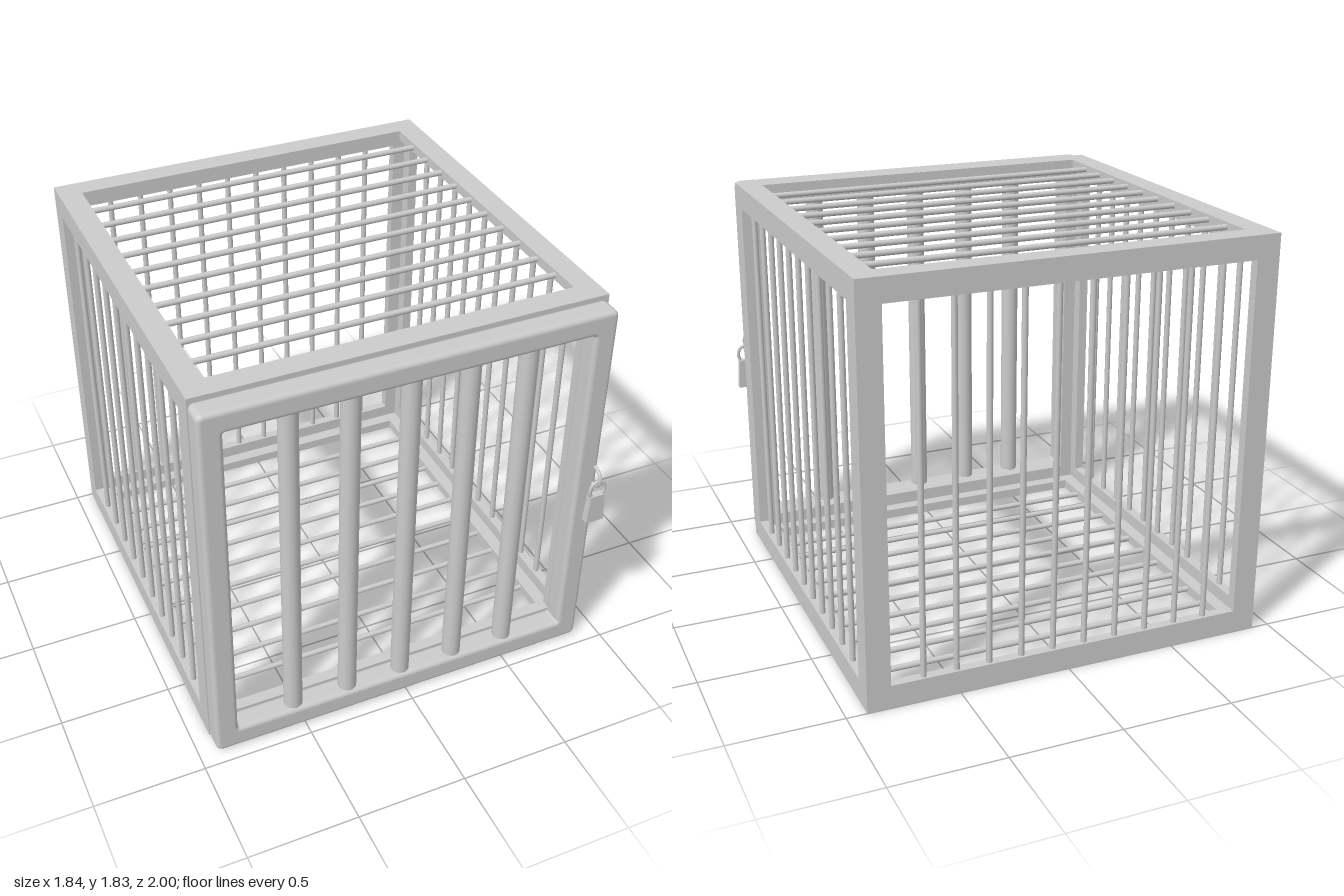
import * as THREE from 'three';

const mat = new THREE.MeshStandardMaterial({ color: 0xcccccc });

export function createModel() {
  const root = new THREE.Group();
  const add = (name, geo, x, y, z, parent = root) => {
    const mesh = new THREE.Mesh(geo, mat);
    mesh.name = name;
    mesh.position.set(x, y, z);
    parent.add(mesh);
    return mesh;
  };
  const points = (list) => list.map(([x, y]) => new THREE.Vector2(x, y));
  const rectangle = (w, h) => points([[-w, -h], [w, -h], [w, h], [-w, h]].map(([x, y]) => [x / 2, y / 2]));

  // Cage of six thin frames, so the edges have an angle-iron profile inside
  const size = 1.83, plate = 0.045, inner = 1.62;
  const off = (size - plate) / 2, short = size - 2 * plate;
  const cage = new THREE.Group();
  cage.name = 'cage';
  cage.position.set(-0.005, size / 2, -0.085);
  root.add(cage);

  const bar = new THREE.CylinderGeometry(0.013, 0.013, inner + 0.02, 12);
  const panel = (name, w, h, position, rotation, barCount = 10) => {
    const group = new THREE.Group();
    group.name = name + 'Panel';
    group.position.set(...position);
    group.rotation.set(...rotation);
    cage.add(group);
    const shape = new THREE.Shape(rectangle(w, h));
    shape.holes.push(new THREE.Path(rectangle(inner, inner)));
    const geo = new THREE.ExtrudeGeometry(shape, { depth: plate, bevelEnabled: false });
    add(name + 'Frame', geo, 0, 0, -plate / 2, group);
    for (let i = 0; i < barCount; i++) add(name + 'Bar', bar, (i - 4.5) * 0.147, 0, 0, group);
  };
  const q = Math.PI / 2;
  panel('front', size, size, [0, 0, off], [0, 0, 0], 0);
  panel('back', size, size, [0, 0, -off], [0, 0, 0]);
  panel('left', short, size, [off, 0, 0], [0, q, 0]);
  panel('right', short, size, [-off, 0, 0], [0, q, 0]);
  panel('roof', short, short, [0, off, 0], [q, 0, q]);
  panel('floor', short, short, [0, -off, 0], [q, 0, q]);

  // Door: rounded frame with a square opening
  const door = new THREE.Group();
  door.name = 'door';
  door.position.set(-0.014, 0.911, 0.887);
  root.add(door);
  const bevel = 0.02, depth = 0.108;
  const roundedSquare = (path, h, r) => {
    path.moveTo(-h + r, -h);
    path.lineTo(h - r, -h).absarc(h - r, -h + r, r, -q, 0);
    path.lineTo(h, h - r).absarc(h - r, h - r, r, 0, q);
    path.lineTo(-h + r, h).absarc(-h + r, h - r, r, q, Math.PI);
    path.lineTo(-h, -h + r).absarc(-h + r, -h + r, r, Math.PI, Math.PI * 1.5);
    return path;
  };
  const outline = roundedSquare(new THREE.Shape(), 0.907 - bevel, 0.008);
  outline.holes.push(roundedSquare(new THREE.Path(), 0.804 + bevel, 0.03));
  const doorGeo = new THREE.ExtrudeGeometry(outline, {
    depth: depth - 2 * bevel, bevelThickness: bevel, bevelSize: bevel, bevelSegments: 5, curveSegments: 6,
  });
  add('doorFrame', doorGeo, 0, 0, -depth / 2 + bevel, door);

  // Thick door bars
  const thick = new THREE.CylinderGeometry(0.042, 0.042, 1.65, 32);
  for (let i = 0; i < 5; i++) add('doorBar', thick, (i - 2) * 0.263, 0, 0, door);

  // Padlock hanging from a ring on the door
  const lock = new THREE.Group();
  lock.name = 'padlock';
  lock.position.set(0.875, 0, 0.977);
  root.add(lock);
  const body = new THREE.Shape(points([[-0.044, 0.753], [0.044, 0.753], [0.034, 0.896], [-0.034, 0.896]]));
  add('lockBody', new THREE.ExtrudeGeometry(body, { depth: 0.034, bevelEnabled: false }), 0, 0, -0.017, lock);
  const shackle = new THREE.CatmullRomCurve3([[-0.024, 0.88], [-0.037, 0.925], [-0.026, 0.956], [0, 0.967],
    [0.026, 0.956], [0.037, 0.925], [0.024, 0.88]].map(([x, y]) => new THREE.Vector3(x, y, 0)));
  add('shackle', new THREE.TubeGeometry(shackle, 32, 0.008, 10), 0, 0, 0.004, lock);
  const ring = new THREE.TorusGeometry(0.046, 0.008, 10, 32).rotateY(q);
  add('lockRing', ring, 0.875, 0.977, 0.948);

  return root;
}
